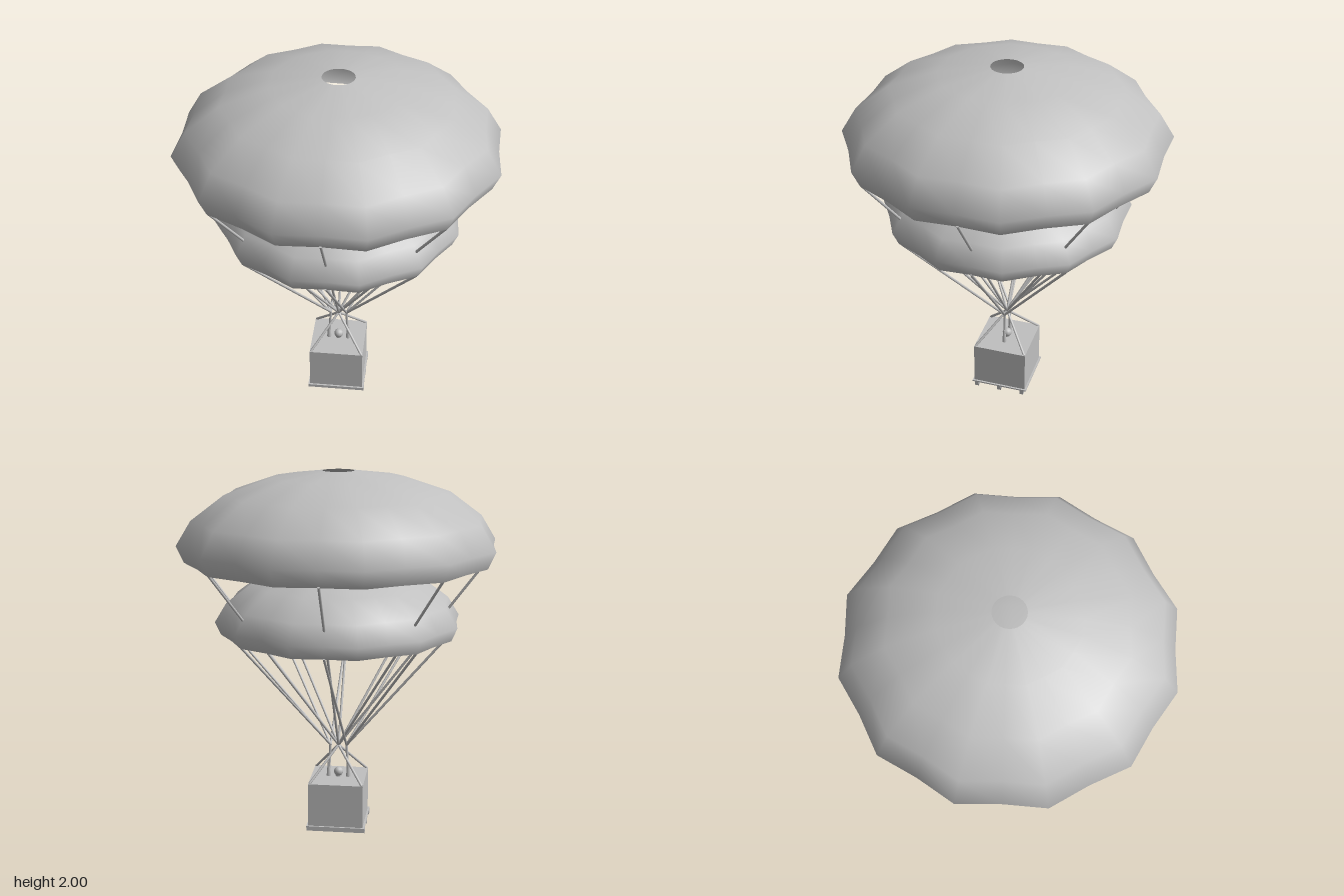
import * as THREE from 'three';
import { mergeVertices } from 'three/addons/utils/BufferGeometryUtils.js';

const V = (x, y, z) => new THREE.Vector3(x, y, z);

export function createModel() {
  const root = new THREE.Group();
  const grey = new THREE.MeshStandardMaterial({ color: 0xc0c0c0 });
  grey.name = 'plain grey';
  const cloth = new THREE.MeshStandardMaterial({ color: 0xc0c0c0, side: THREE.DoubleSide });
  cloth.name = 'grey cloth';

  const add = (parent, name, geometry, material = grey) => {
    const mesh = new THREE.Mesh(geometry, material);
    mesh.name = name;
    parent.add(mesh);
    return mesh;
  };
  const box = (parent, name, w, h, d, x, y, z) =>
    add(parent, name, new THREE.BoxGeometry(w, h, d), grey).position.set(x, y, z);

  // Thin cylinder between two points
  const rope = (parent, name, a, b, r = 0.007) => {
    const dir = b.clone().sub(a);
    const mesh = add(parent, name, new THREE.CylinderGeometry(r, r, dir.length(), 8));
    mesh.position.copy(a).add(b).multiplyScalar(0.5);
    mesh.quaternion.setFromUnitVectors(V(0, 1, 0), dir.normalize());
  };

  // Twelve-gored open dome with a round vent; y measured down from the crown
  const profile = [[0.82, -0.47], [0.86, -0.38], [0.78, -0.25], [0.605, -0.12], [0.355, -0.035], [0.085, 0]];
  const canopy = (name, topY, scale) => {
    const pts = profile.map(([r, y]) => new THREE.Vector2(r, y));
    let geo = new THREE.LatheGeometry(pts, 24, Math.PI / 12);
    const p = geo.attributes.position;
    for (let i = 0; i < p.count; i++) {
      const column = Math.floor(i / pts.length);
      if (column % 2 === 0) continue;
      // Pull each panel's centre line inwards
      const r = Math.hypot(p.getX(i), p.getZ(i));
      const f = 1 - 0.046 * Math.min(1, (r - 0.085) / 0.5);
      p.setX(i, p.getX(i) * f);
      p.setZ(i, p.getZ(i) * f);
    }
    geo.deleteAttribute('uv');
    geo.deleteAttribute('normal');
    geo = mergeVertices(geo, 1e-4);
    geo.computeVertexNormals();
    const mesh = add(root, name, geo, cloth);
    mesh.scale.setScalar(scale);
    mesh.position.y = topY;
  };
  canopy('upperCanopy', 2, 1);
  canopy('lowerCanopy', 1.5, 0.776);

  // Eight suspension lines for each canopy
  const lines = new THREE.Group();
  lines.name = 'suspensionLines';
  root.add(lines);
  for (let i = 0; i < 8; i++) {
    const a = i * Math.PI / 4;
    const r = i % 2 ? 0.815 : 0.785;
    const s = Math.sin(a), c = Math.cos(a);
    rope(lines, 'upperLine', V(r * s, 1.535, r * c), V(0, 0.48, 0));
    const side = Math.abs(s) > 0.1 ? Math.sign(s) : Math.sign(c);
    rope(lines, 'lowerLine', V(r * 0.776 * s, 1.14, r * 0.776 * c), V(side * 0.045, 0.48, 0));
  }

  // Slings from the gathering point to the crate
  const slings = new THREE.Group();
  slings.name = 'slings';
  root.add(slings);
  for (const x of [-1, 1]) {
    for (const z of [-1, 1]) rope(slings, 'cornerSling', V(x * 0.145, 0.295, z * 0.145), V(0, 0.48, 0));
    rope(slings, 'centreSling', V(x * 0.055, 0.3, 0), V(x * 0.045, 0.48, 0));
    const lug = add(slings, 'lug', new THREE.CylinderGeometry(0.006, 0.013, 0.085, 8));
    lug.position.set(x * 0.055, 0.335, 0);
  }

  // Cargo crate with a release knob on the lid
  box(root, 'crate', 0.304, 0.245, 0.304, 0, 0.1725, 0);
  const stem = add(root, 'knobStem', new THREE.CylinderGeometry(0.016, 0.016, 0.03, 8));
  stem.position.set(0, 0.308, 0);
  const knob = add(root, 'knob', new THREE.SphereGeometry(0.026, 10, 8));
  knob.position.set(0, 0.322, 0);

  // Pallet: deck, three runners and two small feet
  const pallet = new THREE.Group();
  pallet.name = 'pallet';
  root.add(pallet);
  box(pallet, 'deck', 0.324, 0.008, 0.324, 0, 0.046, 0);
  for (const z of [-0.135, 0, 0.135]) box(pallet, 'runner', 0.324, 0.026, 0.022, 0, 0.03, z);
  for (const x of [-0.017, 0.017]) box(pallet, 'foot', 0.024, 0.02, 0.045, x, 0.01, 0);

  return root;
}
